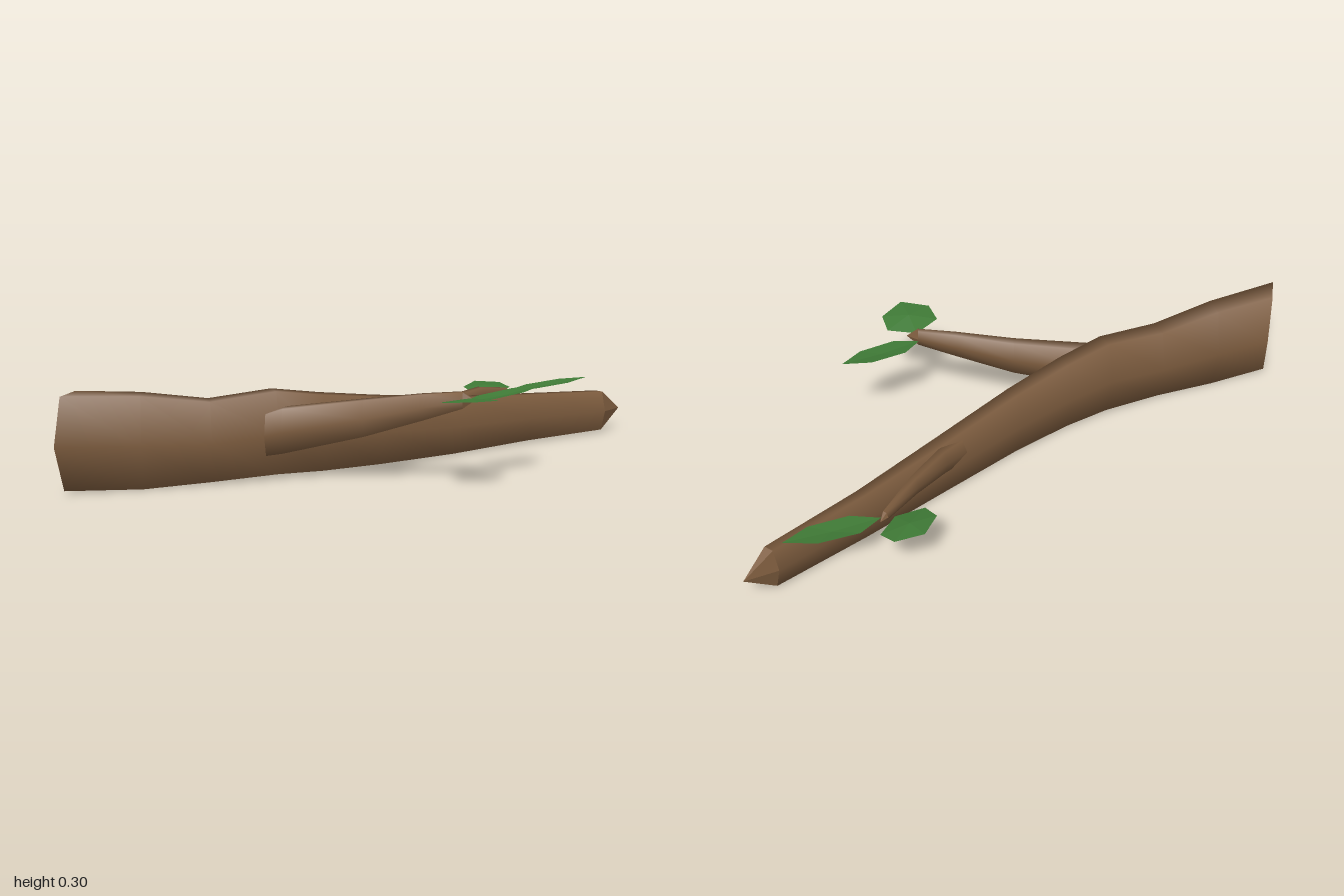
import * as THREE from 'three';

const SIDES = 6;

// Smooth six-sided limb. Each ring: [x, y, z, vertical radius, sideways vector x, sideways vector z]
function limb(name, rings, material) {
  const pos = [], index = [];
  for (const [x, y, z, ry, hx, hz] of rings) {
    for (let k = 0; k < SIDES; k++) {
      const a = (k / SIDES) * Math.PI * 2;
      pos.push(x + Math.cos(a) * hx, y + Math.sin(a) * ry, z + Math.cos(a) * hz);
    }
  }
  for (let i = 0; i < rings.length - 1; i++) {
    for (let k = 0; k < SIDES; k++) {
      const a = i * SIDES + k, b = i * SIDES + (k + 1) % SIDES;
      index.push(a, a + SIDES, b, b, a + SIDES, b + SIDES);
    }
  }
  return build(name, pos, index, material);
}

// Pointed end closing a ring
function point(name, [x, y, z, ry, hx, hz], tip, material) {
  const pos = [];
  const corner = (k) => {
    const a = (k / SIDES) * Math.PI * 2;
    return [x + Math.cos(a) * hx, y + Math.sin(a) * ry, z + Math.cos(a) * hz];
  };
  const index = [];
  for (let k = 0; k < SIDES; k++) {
    pos.push(...corner(k), ...tip, ...corner(k + 1));
    index.push(k * 3, k * 3 + 1, k * 3 + 2);
  }
  return build(name, pos, index, material);
}

// Six-cornered leaf from base to tip, with a raised or sunken middle
function leaf(name, base, tip, halfWidth, lift, material) {
  const b = new THREE.Vector3(...base), t = new THREE.Vector3(...tip);
  const side = t.clone().sub(b).setY(0).normalize().cross(new THREE.Vector3(0, 1, 0));
  const at = (f, w, up = 0) => {
    const p = b.clone().lerp(t, f).addScaledVector(side, w * halfWidth);
    p.y += up;
    return p;
  };
  const rim = [b, at(0.27, 1), at(0.7, 0.95), t, at(0.7, -0.95), at(0.27, -1)];
  const mid = at(0.5, 0, lift);
  const pos = [], index = [];
  rim.forEach((p, i) => {
    const q = rim[(i + 1) % rim.length];
    pos.push(...mid.toArray(), ...p.toArray(), ...q.toArray());
    index.push(i * 3, i * 3 + 1, i * 3 + 2);
  });
  return build(name, pos, index, material);
}

function build(name, pos, index, material) {
  const g = new THREE.BufferGeometry();
  g.setAttribute('position', new THREE.Float32BufferAttribute(pos, 3));
  g.setIndex(index);
  g.computeVertexNormals();
  const mesh = new THREE.Mesh(g, material);
  mesh.name = name;
  return mesh;
}

export function createModel() {
  const bark = new THREE.MeshStandardMaterial({ color: 0x7d5c3e, side: THREE.DoubleSide });
  bark.name = 'bark brown';
  const green = new THREE.MeshStandardMaterial({ color: 0x3f7a36, side: THREE.DoubleSide });
  green.name = 'leaf green';
  const model = new THREE.Group();
  model.name = 'fallenBranch';

  // Main bough, hollow and open at the thick end
  const bough = [
    [-0.94, 0.157, -0.15, 0.165, -0.06, 0.07],
    [-0.73, 0.147, -0.113, 0.164, -0.02, 0.067],
    [-0.53, 0.137, -0.083, 0.143, -0.01, 0.06],
    [-0.33, 0.15, -0.067, 0.15, 0, 0.053],
    [-0.18, 0.137, -0.065, 0.139, 0, 0.05],
    [0.02, 0.122, -0.083, 0.125, 0.005, 0.045],
    [0.29, 0.103, -0.127, 0.107, 0.01, 0.04],
    [0.6, 0.092, -0.187, 0.091, 0.01, 0.031],
    [0.91, 0.081, -0.232, 0.078, 0.012, 0.028],
  ];
  model.add(limb('mainBough', bough, bark));
  model.add(point('boughTip', bough[bough.length - 1], [1, 0.08, -0.245], bark));

  // Front twig
  const front = [
    [-0.36, 0.15, -0.045, 0.075, -0.022, 0.037],
    [-0.315, 0.163, -0.02, 0.08, -0.021, 0.036],
    [-0.1, 0.208, 0.1, 0.065, -0.016, 0.027],
    [0.05, 0.249, 0.2, 0.046, -0.011, 0.019],
    [0.15, 0.275, 0.267, 0.029, -0.008, 0.014],
  ];
  model.add(limb('frontTwig', front, bark));
  model.add(point('frontTwigTip', front[front.length - 1], [0.178, 0.276, 0.29], bark));

  // Back twig
  const back = [
    [0.22, 0.13, -0.125, 0.05, 0.01, 0.022],
    [0.32, 0.152, -0.168, 0.046, 0.01, 0.021],
    [0.45, 0.168, -0.233, 0.034, 0.008, 0.017],
    [0.58, 0.16, -0.296, 0.016, 0.005, 0.011],
  ];
  model.add(limb('backTwig', back, bark));
  model.add(point('backTwigTip', back[back.length - 1], [0.602, 0.155, -0.308], bark));

  // A long and a broad leaf on each twig
  model.add(leaf('frontLongLeaf', [0.15, 0.265, 0.258], [0.43, 0.295, 0.24], 0.037, -0.006, green));
  model.add(leaf('frontBroadLeaf', [0.145, 0.276, 0.284], [0.12, 0.303, 0.43], 0.083, 0.01, green));
  model.add(leaf('backLongLeaf', [0.595, 0.163, -0.3], [0.885, 0.193, -0.275], 0.04, -0.006, green));
  model.add(leaf('backBroadLeaf', [0.555, 0.155, -0.308], [0.53, 0.176, -0.436], 0.082, 0.008, green));

  return model;
}
